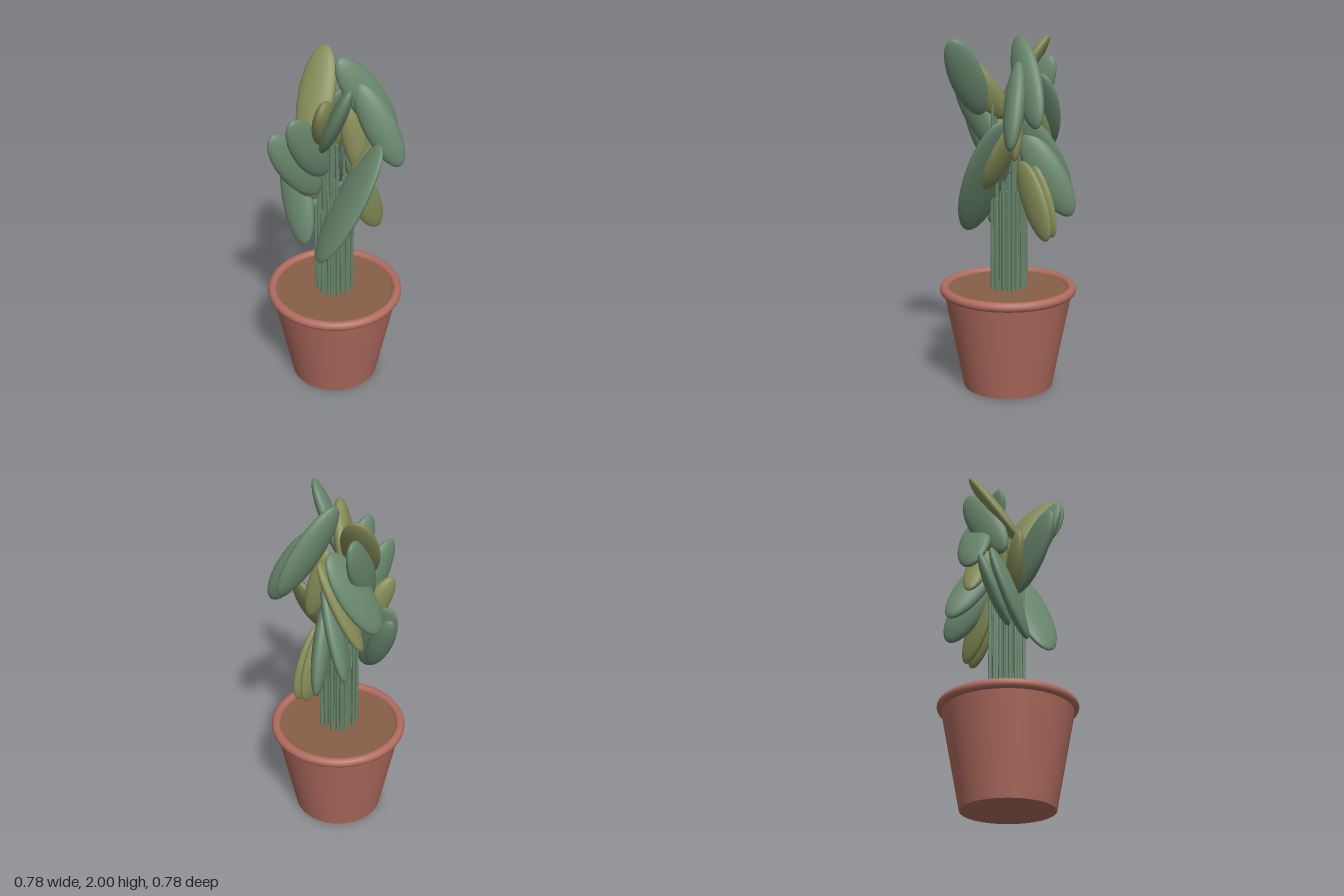
import * as THREE from 'three';

const material = (name, color) => {
  const m = new THREE.MeshStandardMaterial({ color });
  m.name = name;
  return m;
};

export function createModel() {
  const green = material('leafGreen', 0x69876d);
  const olive = material('oliveGreen', 0x838a56);
  const clay = material('terracotta', 0xb06c5f);
  const earth = material('soilBrown', 0x875f48);

  const model = new THREE.Group();
  model.name = 'pottedPlant';
  const add = (name, geometry, mat, parent = model) => {
    const mesh = new THREE.Mesh(geometry, mat);
    mesh.name = name;
    parent.add(mesh);
    return mesh;
  };

  // Pot with rolled rim and soil
  add('pot', new THREE.CylinderGeometry(0.367, 0.256, 0.57, 48), clay).position.y = 0.285;
  const rim = add('potRim', new THREE.TorusGeometry(0.361, 0.027, 16, 64), clay);
  rim.rotation.x = Math.PI / 2;
  rim.position.y = 0.572;
  add('soil', new THREE.CylinderGeometry(0.338, 0.338, 0.02, 48), earth).position.y = 0.567;

  // Stems in a sunflower spread; those on one side rise higher
  const stems = new THREE.Group();
  stems.name = 'stems';
  model.add(stems);
  const stem = (x, z, top) => {
    add('stem', new THREE.CylinderGeometry(0.009, 0.009, top - 0.56, 8), green, stems)
      .position.set(x, (top + 0.56) / 2, z);
  };
  for (let i = 0; i < 34; i++) {
    const r = 0.107 * Math.sqrt((i + 0.5) / 34), a = i * 2.39996;
    stem(r * Math.cos(a), r * Math.sin(a), 1.14 + 0.1 * (i % 3));
  }
  for (const [x, z, top] of [[-0.06, 0.06, 1.72], [-0.08, 0.02, 1.58], [-0.03, 0.07, 1.56],
    [0.08, -0.03, 1.6], [0.03, -0.06, 1.5], [-0.04, -0.03, 1.6]]) stem(x, z, top);

  // Leaves: flattened ellipsoids between two ends, turned so their width follows a direction
  const leaves = new THREE.Group();
  leaves.name = 'leaves';
  model.add(leaves);
  const blade = new THREE.SphereGeometry(1, 28, 18);
  const leaf = (mat, from, to, across, halfWidth, halfThick = 0.044) => {
    const a = new THREE.Vector3(...from), b = new THREE.Vector3(...to);
    const axis = b.clone().sub(a);
    const halfLength = axis.length() / 2;
    axis.normalize();
    const w = new THREE.Vector3(...across);
    w.addScaledVector(axis, -w.dot(axis)).normalize();
    const n = new THREE.Vector3().crossVectors(w, axis);
    const mesh = add('leaf', blade, mat, leaves);
    mesh.quaternion.setFromRotationMatrix(new THREE.Matrix4().makeBasis(w, axis, n));
    mesh.position.copy(a.add(b).multiplyScalar(0.5));
    mesh.scale.set(halfWidth, halfLength, halfThick);
  };

  // Upper leaves
  leaf(olive, [-0.15, 1.53, -0.04], [0.09, 1.99, -0.23], [0.65, 0.45, 0.5], 0.105, 0.042);
  leaf(green, [-0.13, 1.56, 0.08], [-0.11, 1.98, 0.31], [0.8, 0.35, -0.6], 0.095);
  leaf(green, [0.32, 1.53, 0.1], [0.04, 1.99, -0.03], [0.85, 0.5, 0], 0.1, 0.048);
  leaf(green, [0.26, 1.42, 0.24], [0.12, 1.86, 0.04], [0.6, 0.3, 0.3], 0.09, 0.052);
  leaf(olive, [-0.05, 1.54, -0.02], [-0.2, 1.88, 0.2], [0.7, 0.6, -0.3], 0.095, 0.05);
  leaf(green, [-0.11, 1.45, -0.14], [0.12, 1.88, -0.22], [0.8, 0.2, -0.25], 0.1);
  leaf(green, [-0.02, 1.34, -0.3], [0.16, 1.79, -0.1], [0.9, -0.25, -0.25], 0.115);

  // Leaves on the right-hand side of the model
  leaf(green, [-0.09, 1.24, -0.02], [-0.37, 1.66, -0.03], [0.8, 0.55, 0], 0.1);
  leaf(green, [-0.08, 1.38, 0.03], [-0.32, 1.78, 0.09], [0.8, 0.55, 0], 0.095);
  leaf(olive, [-0.08, 1.18, -0.06], [-0.25, 1.52, -0.16], [0.7, 0.5, 0.3], 0.075);
  leaf(green, [-0.18, 0.92, -0.03], [-0.13, 1.42, -0.26], [0.4, 0.3, 0.7], 0.1);
  leaf(green, [-0.13, 0.99, -0.12], [-0.09, 1.38, -0.31], [0.5, 0.2, 0.6], 0.065);

  // Front leaves
  leaf(green, [-0.19, 0.9, 0.12], [0.16, 1.56, 0.2], [-0.15, 0.1, 1], 0.14);
  leaf(olive, [-0.02, 1.16, 0.15], [0.17, 1.54, 0.13], [0.1, 0, 1], 0.09, 0.042);
  leaf(olive, [0.13, 1.33, 0.08], [0.07, 1.74, 0], [0.7, 0.2, 0.3], 0.065, 0.04);

  // Leaves on the left-hand side of the model
  leaf(green, [0.32, 1.02, -0.17], [0.1, 1.47, -0.02], [0.5, 0.55, -0.4], 0.1, 0.048);
  leaf(green, [0.2, 1.1, -0.27], [0.1, 1.57, 0], [0.6, 0.4, -0.3], 0.095);
  leaf(olive, [0.3, 0.9, 0], [0.11, 1.32, 0.01], [0.8, 0.4, 0], 0.088, 0.034);
  leaf(olive, [0.29, 0.91, -0.055], [0.12, 1.33, -0.03], [0.8, 0.4, 0], 0.085, 0.034);
  leaf(olive, [0.06, 1.23, -0.25], [0.14, 1.7, 0], [0.7, 0.3, -0.2], 0.078, 0.04);

  return model;
}
